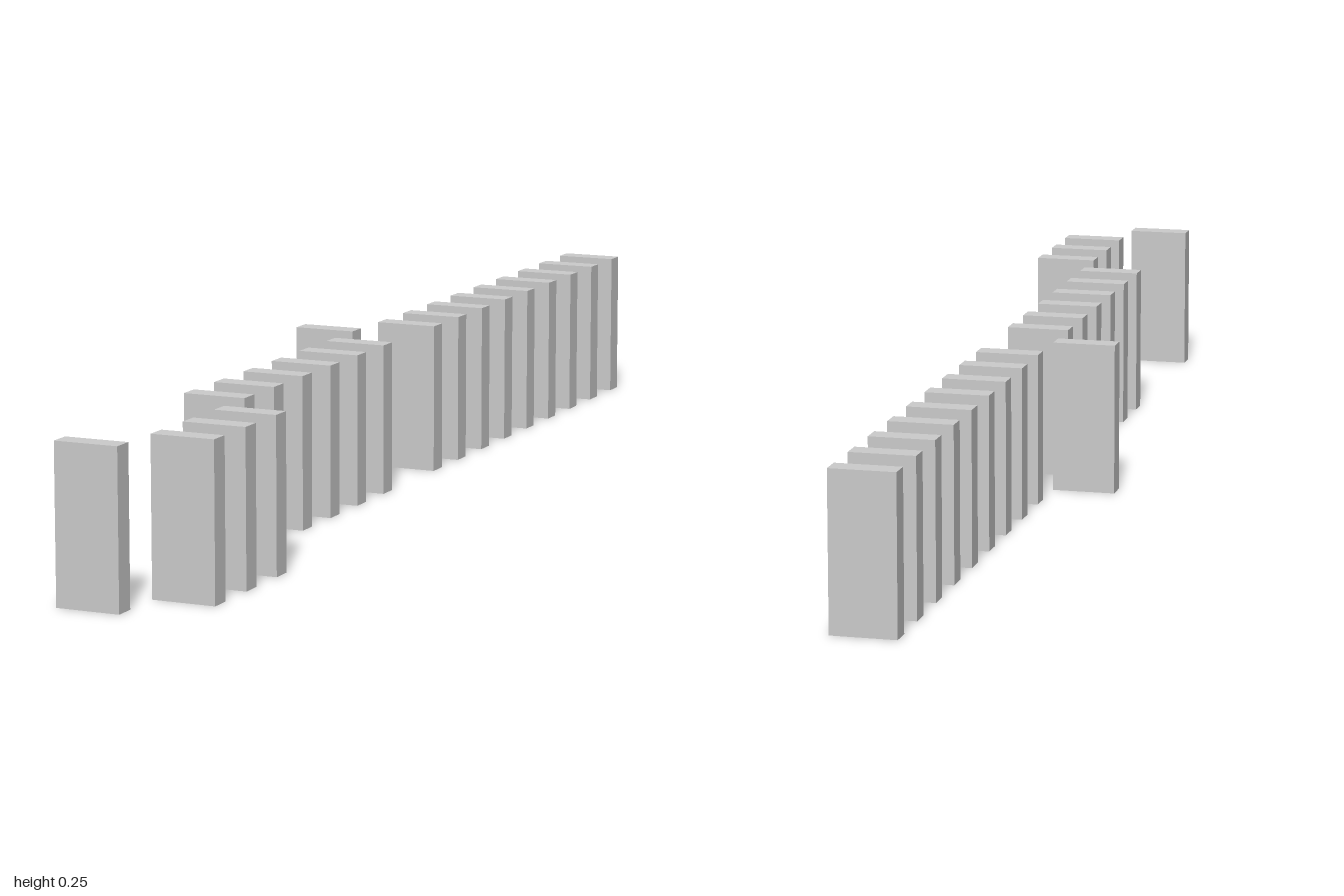
import * as THREE from 'three';

// One slab's thickness sets the unit: slabs are 3 units wide and spaced 3 units apart.
const COUNT = 20;
const THICK = 2 / (3 * (COUNT - 1) + 1);
const WIDTH = 3 * THICK;
const HEIGHT = 7.2 * THICK;
const PITCH = 3 * THICK;

// Sideways steps, in slab widths, counted from the front of the row
const SIDE_STEP = { 1: 1, 2: 1, 3: 1, 10: -1 };

export function createModel() {
  const group = new THREE.Group();
  group.name = 'slabRow';
  const material = new THREE.MeshStandardMaterial({ color: 0xcccccc });
  const geometry = new THREE.BoxGeometry(WIDTH, HEIGHT, THICK);

  // Row of upright slabs running from front to back
  for (let i = 0; i < COUNT; i++) {
    const slab = new THREE.Mesh(geometry, material);
    slab.name = `slab${i + 1}`;
    slab.position.set(
      (SIDE_STEP[i] ?? 0) * WIDTH,
      HEIGHT / 2,
      1 - THICK / 2 - i * PITCH
    );
    group.add(slab);
  }
  return group;
}
